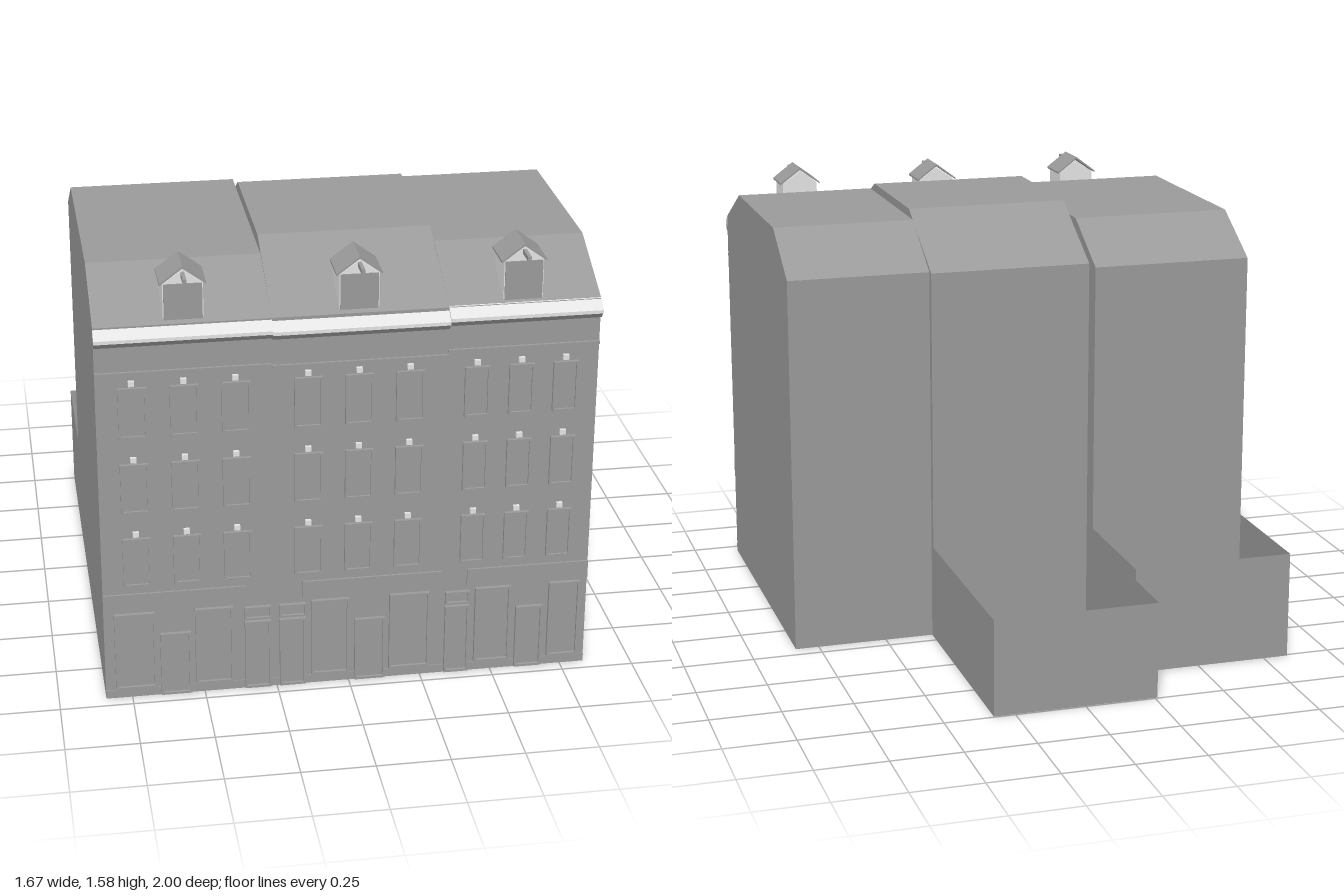
import * as THREE from 'three';

export function createModel() {
  const root = new THREE.Group();
  root.name = 'terraceBuilding';
  const stone = new THREE.MeshStandardMaterial({ color: 0x9a9a9a, side: THREE.DoubleSide });
  stone.name = 'grey stone';
  const trim = new THREE.MeshStandardMaterial({ color: 0xe4e4e4, side: THREE.DoubleSide });
  trim.name = 'pale trim';

  const add = (name, geo, mat = stone) => {
    const m = new THREE.Mesh(geo, mat);
    m.name = name;
    root.add(m);
    return m;
  };
  // box given by its limits
  const box = (name, x0, x1, y0, y1, z0, z1, mat) => {
    const g = new THREE.BoxGeometry(x1 - x0, y1 - y0, z1 - z0);
    g.translate((x0 + x1) / 2, (y0 + y1) / 2, (z0 + z1) / 2);
    return add(name, g, mat);
  };
  // profile of [z, y] points extruded along x
  const prism = (name, x0, x1, pts, mat) => {
    const shape = new THREE.Shape(pts.map(p => new THREE.Vector2(p[0], p[1])));
    const g = new THREE.ExtrudeGeometry(shape, { depth: x1 - x0, bevelEnabled: false });
    g.rotateY(-Math.PI / 2).translate(x1, 0, 0);
    return add(name, g, mat);
  };

  const WALL = 0.95;

  // three adjoining houses: walls and broken roof in one profile, plus cornices
  const houses = [
    { name: 'leftHouse', x0: -0.84, x1: -0.26, back: -0.29, ridgeB: -0.06, ridgeF: 0.68, top: 1.495, cornice: 1.335, string: 1.207 },
    { name: 'middleHouse', x0: -0.26, x1: 0.325, back: -0.22, ridgeB: 0.085, ridgeF: 0.61, top: 1.535, cornice: 1.33, string: 1.2 },
    { name: 'rightHouse', x0: 0.325, x1: 0.835, back: -0.195, ridgeB: 0.03, ridgeF: 0.68, top: 1.505, cornice: 1.34, string: 1.217 },
  ];
  for (const h of houses) {
    prism(h.name, h.x0, h.x1, [[h.back, 0], [WALL, 0], [WALL, 1.375], [h.ridgeF, h.top], [h.ridgeB, h.top], [h.back, 1.36]]);
    const c = h.cornice;
    prism('corniceSoffit', h.x0, h.x1, [[WALL, c - 0.025], [0.965, c - 0.025], [0.98, c - 0.004], [WALL, c - 0.004]]);
    prism('cornice', h.x0, h.x1, [[WALL, c - 0.004], [0.985, c - 0.004], [0.985, c + 0.008], [0.945, c + 0.038], [0.94, c + 0.02]], trim);
    box('stringCourse', h.x0, h.x1, h.string, h.string + 0.01, WALL, 0.96);
  }

  // rear yards: open boxes without a lid or a wall toward the house
  const yard = (name, x0, x1, y1, z0, z1) => {
    const m = box(name, x0, x1, 0, y1, z0, z1);
    const idx = Array.from(m.geometry.index.array);
    m.geometry.setIndex([...idx.slice(0, 12), ...idx.slice(18, 24), ...idx.slice(30, 36)]);
    m.geometry.clearGroups();
  };
  yard('leftYard', -0.84, -0.26, 0.385, -0.758, -0.29);
  yard('middleYard', -0.26, 0.325, 0.345, -0.995, -0.22);

  // frame with a thin recessed pane
  const framed = (name, x0, x1, y0, y1, t = 0.008, depth = 0.012) => {
    const s = new THREE.Shape();
    s.moveTo(x0, y0).lineTo(x1, y0).lineTo(x1, y1).lineTo(x0, y1).closePath();
    const hole = new THREE.Path();
    hole.moveTo(x0 + t, y0 + t).lineTo(x0 + t, y1 - t).lineTo(x1 - t, y1 - t).lineTo(x1 - t, y0 + t).closePath();
    s.holes.push(hole);
    const g = new THREE.ExtrudeGeometry(s, { depth, bevelEnabled: false });
    g.translate(0, 0, WALL);
    add(name + 'Frame', g);
    box(name + 'Pane', x0 + t, x1 - t, y0 + t, y1 - t, WALL, WALL + 0.004);
  };

  // upper windows, each with a small pale keystone
  const columns = [
    [-0.72, 0.095], [-0.55, 0.095], [-0.38, 0.095],
    [-0.14, 0.095], [0.03, 0.095], [0.2, 0.095],
    [0.425, 0.085], [0.575, 0.085], [0.725, 0.085],
  ];
  for (const [x, w] of columns) {
    for (const y of [0.43, 0.705, 0.98]) {
      framed('window', x - w / 2, x + w / 2, y, y + 0.18);
      box('keystone', x - 0.012, x + 0.008, y + 0.187, y + 0.205, WALL, 0.962, trim);
    }
  }

  // shopfronts: fascia, display windows and doors
  for (const [a, b] of [[-0.84, -0.355], [-0.16, 0.32], [0.41, 0.835]])
    box('fascia', a, b, 0.337, 0.4, WALL, 0.958);
  for (const [a, b] of [[-0.805, -0.665], [-0.53, -0.4], [-0.13, 0], [0.14, 0.28], [0.44, 0.565], [0.7, 0.81]])
    framed('shopWindow', a, b, 0.035, 0.325, 0.008, 0.014);
  for (const [a, b] of [[-0.65, -0.545], [0.02, 0.125], [0.585, 0.68]])
    framed('shopDoor', a, b, 0.003, 0.24, 0.008, 0.014);
  for (const [a, b] of [[-0.36, -0.27], [-0.24, -0.15], [0.335, 0.42]]) {
    framed('houseDoor', a, b, 0.003, 0.262, 0.008, 0.014);
    framed('transom', a, b, 0.272, 0.318, 0.006, 0.014);
  }
  box('plinth', -0.84, 0.835, 0, 0.03, WALL, 0.954);

  // roof dormers with pale cheeks, gabled roof and a hoist beam
  for (const [x, y] of [[-0.545, 0], [0.03, 0], [0.575, 0.012]]) {
    const w = 0.066, eave = 1.505 + y, peak = 1.557 + y;
    const gable = new THREE.Shape();
    gable.moveTo(-w, 1.375).lineTo(w, 1.375).lineTo(w, eave).lineTo(0, peak - 0.006).lineTo(-w, eave).closePath();
    const body = new THREE.ExtrudeGeometry(gable, { depth: 0.13, bevelEnabled: false });
    body.translate(x, 0, 0.8);
    add('dormerBody', body, trim);
    box('dormerWindow', x - w + 0.003, x + w - 0.003, 1.38, eave, 0.928, 0.934);
    const roof = new THREE.Shape();
    roof.moveTo(-w - 0.01, eave - 0.004).lineTo(0, peak).lineTo(w + 0.01, eave - 0.004)
      .lineTo(w + 0.01, eave + 0.003).lineTo(0, peak + 0.008).lineTo(-w - 0.01, eave + 0.003).closePath();
    const roofGeo = new THREE.ExtrudeGeometry(roof, { depth: 0.14, bevelEnabled: false });
    roofGeo.translate(x, 0, 0.795);
    add('dormerRoof', roofGeo);
    box('hoistBeam', x - 0.006, x + 0.006, peak - 0.028, peak - 0.012, 0.92, 1.0);
  }
  return root;
}
